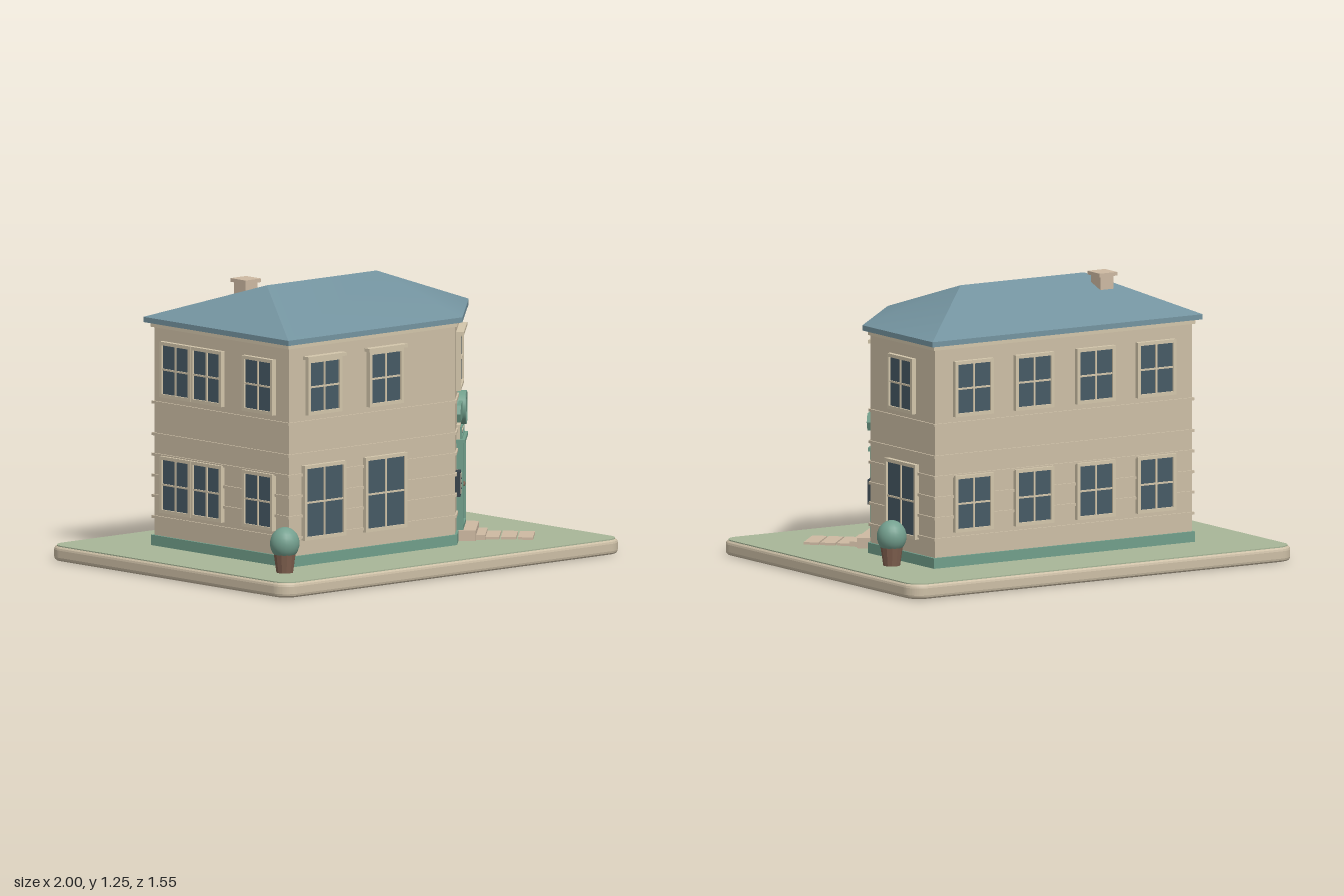
import * as THREE from 'three';
import { mergeGeometries } from 'three/addons/utils/BufferGeometryUtils.js';

const mat = (name, color) => {
  const m = new THREE.MeshStandardMaterial({ color });
  m.name = name;
  return m;
};

export function createModel() {
  const M = {
    wall: mat('stucco', 0xcdbfa6),
    trim: mat('cream trim', 0xd3c6ab),
    roof: mat('slate blue roof', 0x7494a0),
    grass: mat('lawn', 0xa8b698),
    green: mat('sage paint', 0x719f8b),
    leaf: mat('foliage', 0x74a08f),
    glass: mat('window glass', 0x465a65),
    brown: mat('terracotta', 0x80604f),
    dark: mat('dark metal', 0x36424a),
    stone: mat('step stone', 0xcdb9a2),
  };
  const root = new THREE.Group();
  root.name = 'cornerBuilding';

  const add = (parent, name, geo, material, x = 0, y = 0, z = 0) => {
    const mesh = new THREE.Mesh(geo, material);
    mesh.name = name;
    mesh.position.set(x, y, z);
    parent.add(mesh);
    return mesh;
  };
  const box = (parent, name, material, w, h, d, x, y, z) =>
    add(parent, name, new THREE.BoxGeometry(w, h, d), material, x, y, z);

  // Building footprint with one cut corner, grown outward by o
  const outline = (o) => {
    const x = 0.67 + o, f = 0.435 + o, b = -0.44 - o, c = 0.74 + o * Math.SQRT2;
    return [[-x, b], [-x, f], [c - f, f], [x, c - x], [x, b]];
  };
  const prism = (name, o, y0, y1, material) => {
    const shape = new THREE.Shape(outline(o).map(([x, z]) => new THREE.Vector2(x, -z)));
    const geo = new THREE.ExtrudeGeometry(shape, { depth: y1 - y0, bevelEnabled: false });
    geo.rotateX(-Math.PI / 2);
    add(root, name, geo, material, 0, y0, 0);
  };
  const rect = (Kind, x, y, w, h) => new Kind().moveTo(x - w / 2, y - h / 2)
    .lineTo(x + w / 2, y - h / 2).lineTo(x + w / 2, y + h / 2).lineTo(x - w / 2, y + h / 2).closePath();
  const roundedSlab = (hx, hz, r, depth, bevel) => {
    const s = new THREE.Shape();
    s.absarc(hx - r, hz - r, r, 0, Math.PI / 2);
    s.absarc(r - hx, hz - r, r, Math.PI / 2, Math.PI);
    s.absarc(r - hx, r - hz, r, Math.PI, Math.PI * 1.5);
    s.absarc(hx - r, r - hz, r, Math.PI * 1.5, Math.PI * 2);
    const geo = new THREE.ExtrudeGeometry(s, {
      depth, bevelEnabled: bevel > 0, bevelSize: bevel, bevelThickness: bevel, bevelOffset: -bevel, bevelSegments: 3, curveSegments: 8,
    });
    return geo.rotateX(-Math.PI / 2);
  };

  // Ground slab and lawn
  add(root, 'baseSlab', roundedSlab(1, 0.775, 0.08, 0.032, 0.017), M.wall, 0, 0.017, 0);
  add(root, 'lawn', roundedSlab(0.99, 0.765, 0.075, 0.005, 0), M.grass, 0, 0.064, 0);

  // Walls, plinth, string courses and cornice
  prism('walls', 0, 0.066, 1.055, M.wall);
  prism('plinth', 0.01, 0.066, 0.115, M.green);
  for (const y of [0.195, 0.288, 0.378, 0.47, 0.56, 0.7]) prism('stringCourse', 0.008, y - 0.006, y + 0.006, M.wall);
  prism('cornice', 0.012, 1.032, 1.05, M.trim);
  prism('eaves', 0.034, 1.052, 1.075, M.roof);

  // Hipped roof: front, cut corner and right side blend smoothly
  const eave = outline(0.034).map(([x, z]) => [x, 1.075, z]);
  const [bl, fl, fc, rc, br] = eave;
  const ridgeL = [-0.375, 1.23, -0.035], ridgeR = [0.27, 1.23, -0.035];
  const facet = (points, index) => {
    const g = new THREE.BufferGeometry();
    g.setAttribute('position', new THREE.Float32BufferAttribute(points.flat(), 3));
    g.setIndex(index);
    g.computeVertexNormals();
    return g;
  };
  add(root, 'roof', mergeGeometries([
    facet([fl, fc, rc, br, ridgeR, ridgeL], [0, 1, 4, 0, 4, 5, 1, 2, 4, 2, 3, 4]),
    facet([br, bl, ridgeL, ridgeR], [0, 1, 2, 0, 2, 3]),
    facet([bl, fl, ridgeL], [0, 1, 2]),
  ]), M.roof);

  // Chimney
  box(root, 'chimney', M.stone, 0.07, 0.12, 0.075, -0.39, 1.175, -0.155);
  box(root, 'chimneyCap', M.stone, 0.092, 0.016, 0.098, -0.39, 1.241, -0.155);

  // Wall frames: local z points out of each wall
  const sides = {
    front: [0, 0.435, 0], back: [0, -0.44, Math.PI], left: [0.67, 0, Math.PI / 2],
    right: [-0.67, 0, -Math.PI / 2], corner: [0.4875, 0.2525, Math.PI / 4],
  };
  const W = {};
  for (const [key, [x, z, turn]] of Object.entries(sides)) {
    W[key] = new THREE.Group();
    W[key].name = key + 'WallDetails';
    W[key].position.set(x, 0, z);
    W[key].rotation.y = turn;
    root.add(W[key]);
  }
  const frame = (parent, name, material, w, h, t, depth, x, y) => {
    const s = rect(THREE.Shape, 0, 0, w, h);
    s.holes.push(rect(THREE.Path, 0, 0, w - 2 * t, h - 2 * t));
    add(parent, name, new THREE.ExtrudeGeometry(s, { depth, bevelEnabled: false }), material, x, y, 0);
  };
  const addWindow = (parent, u, y0, y1, w, lintel = false) => {
    const g = new THREE.Group();
    g.name = 'window';
    g.position.set(u, (y0 + y1) / 2, 0);
    parent.add(g);
    const h = y1 - y0;
    frame(g, 'windowFrame', M.trim, w, h, 0.015, 0.021, 0, 0);
    box(g, 'windowGlass', M.glass, w - 0.02, h - 0.02, 0.012, 0, 0, 0.006);
    box(g, 'mullion', M.trim, 0.008, h - 0.02, 0.006, 0, 0, 0.014);
    box(g, 'transomBar', M.trim, w - 0.02, 0.008, 0.006, 0, 0, 0.014);
    if (lintel) box(g, 'lintel', M.trim, w + 0.025, 0.015, 0.034, 0, h / 2 + 0.008, 0.017);
  };
  for (const u of [-0.473, -0.113]) {
    addWindow(W.front, u, 0.18, 0.51, 0.245);
    addWindow(W.front, u, 0.73, 0.975, 0.2, true);
  }
  for (const u of [-0.475, -0.16, 0.16, 0.475]) {
    addWindow(W.back, u, 0.22, 0.47, 0.2);
    addWindow(W.back, u, 0.73, 0.975, 0.2);
  }
  for (const u of [-0.285, -0.083, 0.25]) {
    addWindow(W.right, u, 0.22, 0.47, 0.2);
    addWindow(W.right, u, 0.73, 0.975, 0.2);
  }
  addWindow(W.left, 0.193, 0.18, 0.51, 0.245);
  addWindow(W.left, 0.19, 0.73, 0.975, 0.2);
  addWindow(W.corner, 0, 0.73, 0.975, 0.27, true);

  // Entrance: double door, fanlight and notice boards
  const C = W.corner;
  frame(C, 'doorFrame', M.green, 0.255, 0.39, 0.018, 0.03, 0, 0.31);
  box(C, 'doorHead', M.green, 0.27, 0.016, 0.038, 0, 0.505, 0.019);
  box(C, 'fanlightSurround', M.trim, 0.245, 0.075, 0.016, 0, 0.54, 0.008);
  frame(C, 'fanlightFrame', M.green, 0.22, 0.055, 0.008, 0.024, 0, 0.539);
  box(C, 'fanlightGlass', M.glass, 0.21, 0.045, 0.018, 0, 0.539, 0.009);
  box(C, 'fanlightBar', M.trim, 0.21, 0.006, 0.022, 0, 0.539, 0.011);
  for (const s of [-1, 1]) {
    box(C, 'doorLeaf', M.green, 0.106, 0.36, 0.016, s * 0.0555, 0.305, 0.008);
    box(C, 'doorPaneUpper', M.glass, 0.058, 0.115, 0.005, s * 0.056, 0.405, 0.016);
    box(C, 'doorPaneMiddle', M.glass, 0.058, 0.05, 0.005, s * 0.056, 0.305, 0.016);
    box(C, 'doorPaneLower', M.glass, 0.058, 0.09, 0.005, s * 0.056, 0.2, 0.016);
    const knob = add(C, 'doorKnob', new THREE.SphereGeometry(0.009, 10, 8), M.brown, s * 0.015, 0.3, 0.025);
    knob.scale.x = 1.3;
    box(C, 'noticeBoard', M.dark, 0.076, 0.11, 0.022, s * 0.182, 0.33, 0.011);
    box(C, 'noticeSheet', M.trim, 0.054, 0.088, 0.004, s * 0.182, 0.33, 0.0225);
    for (const dy of [-0.022, 0, 0.022]) box(C, 'noticeLine', M.dark, 0.032, 0.004, 0.002, s * 0.182, 0.33 + dy, 0.025);
  }

  // Blank ribbon sign with an oval centre
  const ribbon = new THREE.Shape([
    [-0.228, 0.64], [-0.212, 0.602], [0.212, 0.602], [0.228, 0.64], [0.212, 0.677], [-0.212, 0.677],
  ].map(([x, y]) => new THREE.Vector2(x, y)));
  add(C, 'signRibbon', new THREE.ExtrudeGeometry(ribbon, { depth: 0.016, bevelEnabled: false }), M.green, 0, 0, 0.008);
  const oval = new THREE.CylinderGeometry(0.074, 0.074, 0.036, 32).rotateX(Math.PI / 2);
  add(C, 'signOval', oval, M.green, 0, 0.638, 0.018);
  add(C, 'signOvalRim', new THREE.TorusGeometry(0.071, 0.004, 6, 32), M.leaf, 0, 0.638, 0.036);

  // Porch step and garden pavers
  box(C, 'porchStep', M.stone, 0.29, 0.046, 0.085, 0, 0.092, 0.043);
  box(C, 'lowerStep', M.stone, 0.215, 0.022, 0.04, 0, 0.08, 0.105);
  for (let i = 0; i < 3; i++) box(C, 'paver', M.stone, 0.187, 0.014, 0.066, 0, 0.073, 0.152 + i * 0.074);

  // Potted shrubs with slatted tubs
  for (const [x, z] of [[-0.78, 0.53], [0.78, -0.265]]) {
    const p = new THREE.Group();
    p.name = 'pottedShrub';
    p.position.set(x, 0.068, z);
    root.add(p);
    add(p, 'tub', new THREE.CylinderGeometry(0.052, 0.037, 0.105, 12), M.brown, 0, 0.0525, 0).material.flatShading = true;
    const crown = add(p, 'crown', new THREE.SphereGeometry(0.065, 20, 14), M.leaf, 0, 0.129, 0);
    crown.scale.y = 1.1;
  }
  return root;
}
